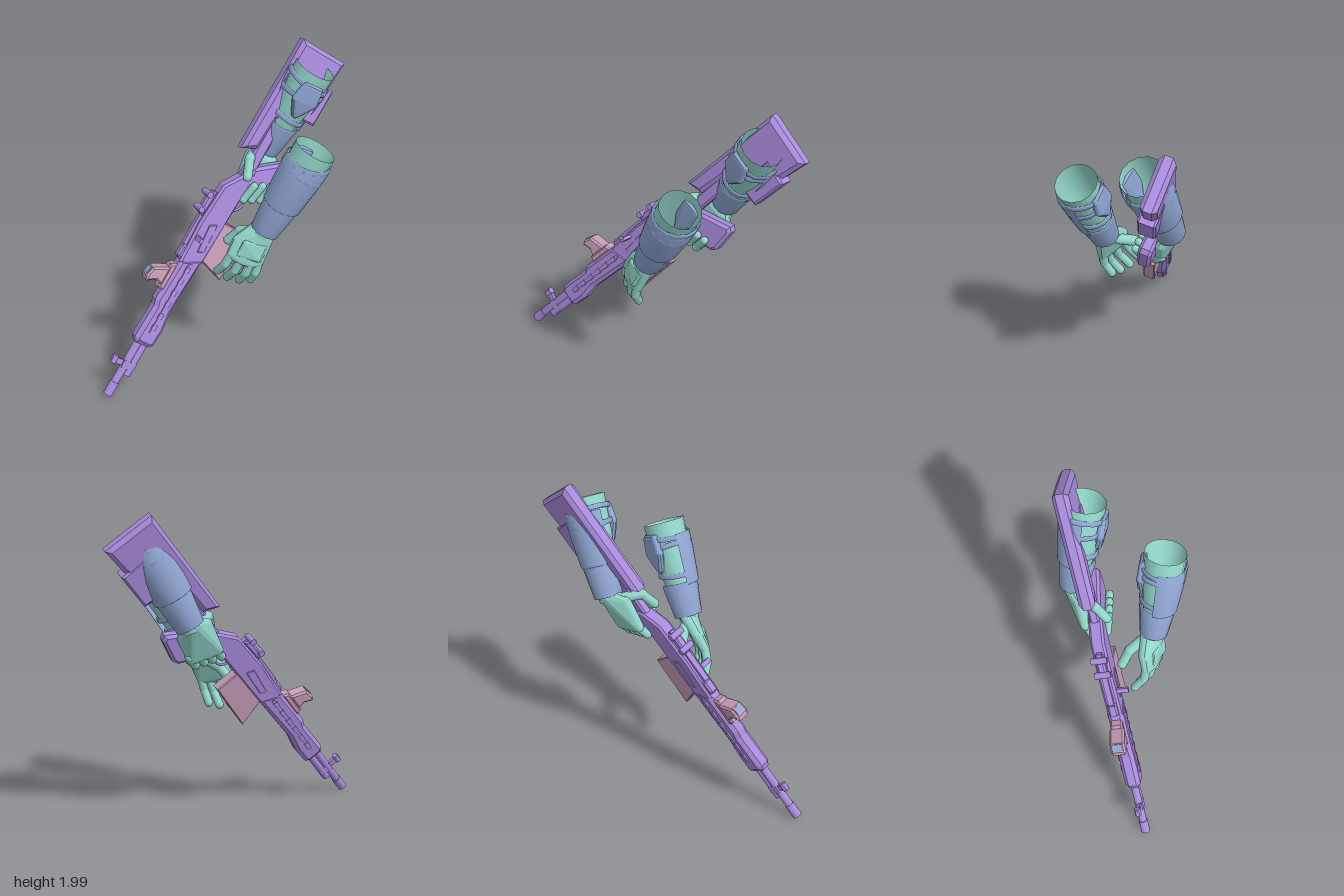
import * as THREE from 'three';
import { ConvexGeometry } from 'three/addons/geometries/ConvexGeometry.js';

const V = (p) => new THREE.Vector3(...p);

export function createModel() {
  const mat = (name, color, side = THREE.FrontSide) => {
    const m = new THREE.MeshStandardMaterial({ color, side });
    m.name = name;
    return m;
  };
  const purple = mat('gun purple', 0xa98bdc);
  const teal = mat('glove teal', 0x92d6ca, THREE.DoubleSide);
  const blue = mat('armour blue', 0x8fa5d2, THREE.DoubleSide);
  const mauve = mat('magazine mauve', 0xc79db8);

  const add = (parent, name, geo, material, pos = [0, 0, 0]) => {
    const m = new THREE.Mesh(geo, material);
    m.name = name;
    m.position.set(...pos);
    parent.add(m);
    return m;
  };
  const group = (parent, name) => {
    const g = new THREE.Group();
    g.name = name;
    parent.add(g);
    return g;
  };
  // side profile extruded to a centred width, with bevelled edges
  const slab = (pts, width, bevel = 0.012) => {
    const s = new THREE.Shape(pts.map(([x, y]) => new THREE.Vector2(x, y)));
    const g = new THREE.ExtrudeGeometry(s, {
      depth: width - 2 * bevel, bevelEnabled: bevel > 0, bevelThickness: bevel,
      bevelSize: bevel, bevelOffset: -bevel, bevelSegments: 1,
    });
    return g.translate(0, 0, bevel - width / 2);
  };
  const rod = (x0, x1, r, r1 = r) =>
    new THREE.CylinderGeometry(r1, r, x1 - x0, 14).rotateZ(-Math.PI / 2).translate((x0 + x1) / 2, 0, 0);
  // chain of rounded segments through points
  const chain = (parent, name, pts, r) => {
    const g = group(parent, name);
    for (let i = 0; i < pts.length - 1; i++) {
      const a = V(pts[i]), b = V(pts[i + 1]), d = b.clone().sub(a);
      const m = add(g, 'segment', new THREE.CapsuleGeometry(r * (1 - 0.07 * i), d.length(), 4, 10), teal);
      m.position.copy(a).add(b).multiplyScalar(0.5);
      m.quaternion.setFromUnitVectors(new THREE.Vector3(0, 1, 0), d.normalize());
    }
  };
  // rounded hull around spheres [x, y, z, radius]
  const hull = (parent, name, balls, material) => {
    const pts = [];
    for (const [x, y, z, r] of balls) {
      const p = new THREE.IcosahedronGeometry(r, 1).attributes.position;
      for (let i = 0; i < p.count; i++) pts.push(new THREE.Vector3().fromBufferAttribute(p, i).add(V([x, y, z])));
    }
    return add(parent, name, new ConvexGeometry(pts), material);
  };

  const root = new THREE.Group();
  root.name = 'armsWithRifle';

  // Rifle: local x runs muzzle to butt, y is the rifle's up, z its side
  const gun = group(root, 'rifle');
  gun.applyMatrix4(new THREE.Matrix4().makeBasis(
    V([0.605, 0.796, -0.306]), V([-0.796, 0.605, 0]), V([0.177, 0.233, 0.956])).setPosition(-0.83, 0.03, 0.38));

  add(gun, 'barrel', rod(0, 0.5, 0.026), purple);
  add(gun, 'muzzle', rod(0, 0.09, 0.03), purple);
  add(gun, 'gasTube', rod(0.155, 0.45, 0.026), purple, [0, -0.045, 0]);
  add(gun, 'barrelBand', new THREE.BoxGeometry(0.05, 0.09, 0.045), purple, [0.215, -0.02, 0]);
  add(gun, 'frontSight', new THREE.BoxGeometry(0.035, 0.1, 0.022), purple, [0.218, 0.055, 0]);
  add(gun, 'frontSightCap', rod(0.195, 0.245, 0.02), purple, [0, 0.085, 0]);
  add(gun, 'handguard', slab([[0.37, 0.03], [0.4, 0.052], [0.62, 0.045], [0.66, 0.06], [0.94, 0.05],
    [1.0, -0.093], [0.62, -0.08], [0.5, -0.1], [0.39, -0.095], [0.37, -0.07]], 0.1, 0.024), purple);
  for (const s of [-1, 1]) {
    add(gun, 'sideRail', new THREE.BoxGeometry(0.48, 0.022, 0.014), purple, [0.7, -0.02, s * 0.051]);
    for (let i = 0; i < 6; i++)
      add(gun, 'railStud', new THREE.BoxGeometry(0.035, 0.03, 0.012), purple, [0.5 + i * 0.08, -0.02, s * 0.055]);
    add(gun, 'receiverPanel', slab([[1.02, -0.02], [1.2, 0.0], [1.22, -0.05], [1.04, -0.06]], 0.012, 0.003),
      purple, [0, 0, s * 0.046]);
  }
  add(gun, 'receiver', slab([[0.92, 0.05], [1.188, 0.063], [1.446, 0.047], [1.556, -0.036],
    [1.6, -0.11], [1.0, -0.1], [0.93, -0.085]], 0.09, 0.014), purple);
  add(gun, 'topBlock', slab([[0.93, 0.04], [0.95, 0.078], [1.02, 0.078], [1.04, 0.04]], 0.06), purple);
  add(gun, 'topRail', new THREE.BoxGeometry(0.36, 0.025, 0.035), purple, [1.21, 0.068, 0]);
  add(gun, 'rearSightBase', slab([[1.22, 0.06], [1.24, 0.1], [1.36, 0.1], [1.39, 0.05]], 0.055), purple);
  for (const x of [1.26, 1.36])
    add(gun, 'rearSightKnob', new THREE.CylinderGeometry(0.02, 0.02, 0.1, 12).rotateX(Math.PI / 2), purple, [x, 0.1, 0]);
  add(gun, 'chargingHandle', new THREE.BoxGeometry(0.03, 0.02, 0.09), purple, [1.1, 0.03, 0.075]);
  add(gun, 'pistolGrip', slab([[1.44, -0.08], [1.62, -0.08], [1.77, -0.3], [1.75, -0.33], [1.6, -0.36],
    [1.56, -0.34]], 0.085, 0.018), purple);
  add(gun, 'triggerGuard', new THREE.TorusGeometry(0.055, 0.009, 6, 16, Math.PI).rotateZ(Math.PI), purple, [1.39, -0.1, 0]);
  add(gun, 'stockLink', slab([[1.5, -0.03], [1.95, -0.02], [1.95, -0.1], [1.5, -0.11]], 0.06), purple);
  add(gun, 'stock', slab([[1.687, 0.07], [2.42, 0.07], [2.425, -0.266], [2.26, -0.255],
    [2.0, -0.2], [1.93, -0.04], [1.73, -0.03]], 0.1, 0.025), purple);
  add(gun, 'stockBox', slab([[2.0, -0.12], [2.25, -0.12], [2.245, -0.285], [2.01, -0.285]], 0.11, 0.012), purple);
  add(gun, 'magazine', slab([[0.985, -0.08], [1.25, -0.08], [1.25, -0.256], [0.928, -0.268]], 0.075, 0.006), mauve);

  // Reflex sight on the handguard
  add(gun, 'sightBase', slab([[0.72, 0.045], [0.73, 0.09], [0.89, 0.09], [0.905, 0.045]], 0.08), mauve);
  add(gun, 'sightHousing', slab([[0.75, 0.08], [0.765, 0.13], [0.735, 0.185], [0.765, 0.2], [0.825, 0.188],
    [0.85, 0.13], [0.87, 0.08]], 0.095), mauve);
  add(gun, 'sightLens', new THREE.BoxGeometry(0.045, 0.008, 0.06), blue, [0.797, 0.195, 0]).rotation.z = -0.2;

  // Forearm: y runs wrist to elbow, z points to the armoured outer side
  const forearm = (name, wrist, elbow, outer) => {
    const g = group(root, name);
    const y = V(elbow).sub(V(wrist)), L = y.length();
    y.normalize();
    const x = y.clone().cross(V(outer)).normalize();
    g.applyMatrix4(new THREE.Matrix4().makeBasis(x, y, x.clone().cross(y)).setPosition(...wrist));
    const profile = [[0.062, -0.04], [0.07, 0.05], [0.1, 0.25], [0.122, 0.42], [0.13, L]];
    const lathe = (pts, start = 0, sweep = Math.PI * 2, n = 14) =>
      new THREE.LatheGeometry(pts.map(([r, h]) => new THREE.Vector2(r, h)), n, start, sweep);
    add(g, 'sleeve', lathe(profile), teal);
    // closed cuff and open half shell
    add(g, 'cuff', lathe([[0.07, -0.01], [0.09, -0.01], [0.115, 0.2], [0.105, 0.21]]), blue);
    add(g, 'bracer', lathe([[0.112, 0.19], [0.123, 0.2], [0.14, 0.4], [0.145, L - 0.09], [0.128, L - 0.09]],
      -Math.PI * 0.56, Math.PI * 1.12), blue);
    // inner straps and pad
    for (const [h, r, tilt] of [[0.27, 0.112, 0.12], [L - 0.16, 0.134, -0.12], [L - 0.09, 0.136, 0.16]]) {
      const strap = add(g, 'strap', lathe([[r, -0.016], [r + 0.01, -0.014], [r + 0.01, 0.014], [r, 0.016]]), blue, [0, h, 0]);
      strap.rotation.z = tilt;
    }
    hull(g, 'innerPad', [[-0.05, L - 0.08, -0.125, 0.02], [0.05, L - 0.08, -0.125, 0.02], [-0.06, L - 0.18, -0.125, 0.025],
      [0.06, L - 0.18, -0.125, 0.025], [0, L - 0.28, -0.11, 0.03]], blue);
  };
  forearm('leftForearm', [0.205, 1.06, 0.265], [0.495, 1.595, 0.28], [0, 0, 1]);
  forearm('rightForearm', [0.335, 1.32, -0.25], [0.63, 1.86, -0.22], [0.1, 0, -1]);

  // Open supporting hand
  const left = group(root, 'leftHand');
  const knuckles = [[0.0, 0.9, 0.25], [0.05, 0.87, 0.285], [0.105, 0.85, 0.305], [0.155, 0.855, 0.31]];
  const tips = [[-0.075, 0.74, 0.19], [-0.02, 0.7, 0.215], [0.05, 0.69, 0.245], [0.115, 0.7, 0.27]];
  hull(left, 'palm', [[0.17, 1.06, 0.23, 0.045], [0.22, 1.05, 0.28, 0.05], [0.05, 0.98, 0.23, 0.04],
    ...knuckles.map((k) => [...k, 0.032])], teal);
  hull(left, 'handPlate', [[0.08, 0.99, 0.285, 0.02], [0.19, 0.97, 0.32, 0.02], [0.04, 0.915, 0.285, 0.02],
    [0.15, 0.89, 0.335, 0.02]], teal);
  knuckles.forEach((k, i) => {
    const mid = k.map((c, j) => (c + tips[i][j]) / 2 + (j === 2 ? 0.022 : 0));
    chain(left, 'finger', [k, mid, tips[i]], 0.029);
  });
  chain(left, 'thumb', [[0.15, 1.01, 0.2], [0.08, 0.975, 0.13], [0.015, 0.895, 0.095]], 0.034);

  // Hand closed around the pistol grip, in rifle space
  const right = group(gun, 'rightHand');
  hull(right, 'palm', [[1.76, -0.13, -0.11, 0.055], [1.68, -0.06, -0.07, 0.035], [1.7, -0.23, -0.07, 0.035],
    [1.5, -0.1, -0.08, 0.032], [1.56, -0.26, -0.08, 0.032]], teal);
  for (let i = 0; i < 4; i++) {
    const p = -0.11 - i * 0.052, s = i * 0.022;
    chain(right, 'finger', [[1.52 + s, p, -0.085], [1.435 + s, p, -0.055], [1.43 + s, p - 0.01, 0.04],
      [1.53 + s, p - 0.01, 0.075]], 0.029);
  }
  chain(right, 'thumb', [[1.7, -0.07, -0.06], [1.655, -0.02, 0.03], [1.56, -0.045, 0.075]], 0.032);

  return root;
}
